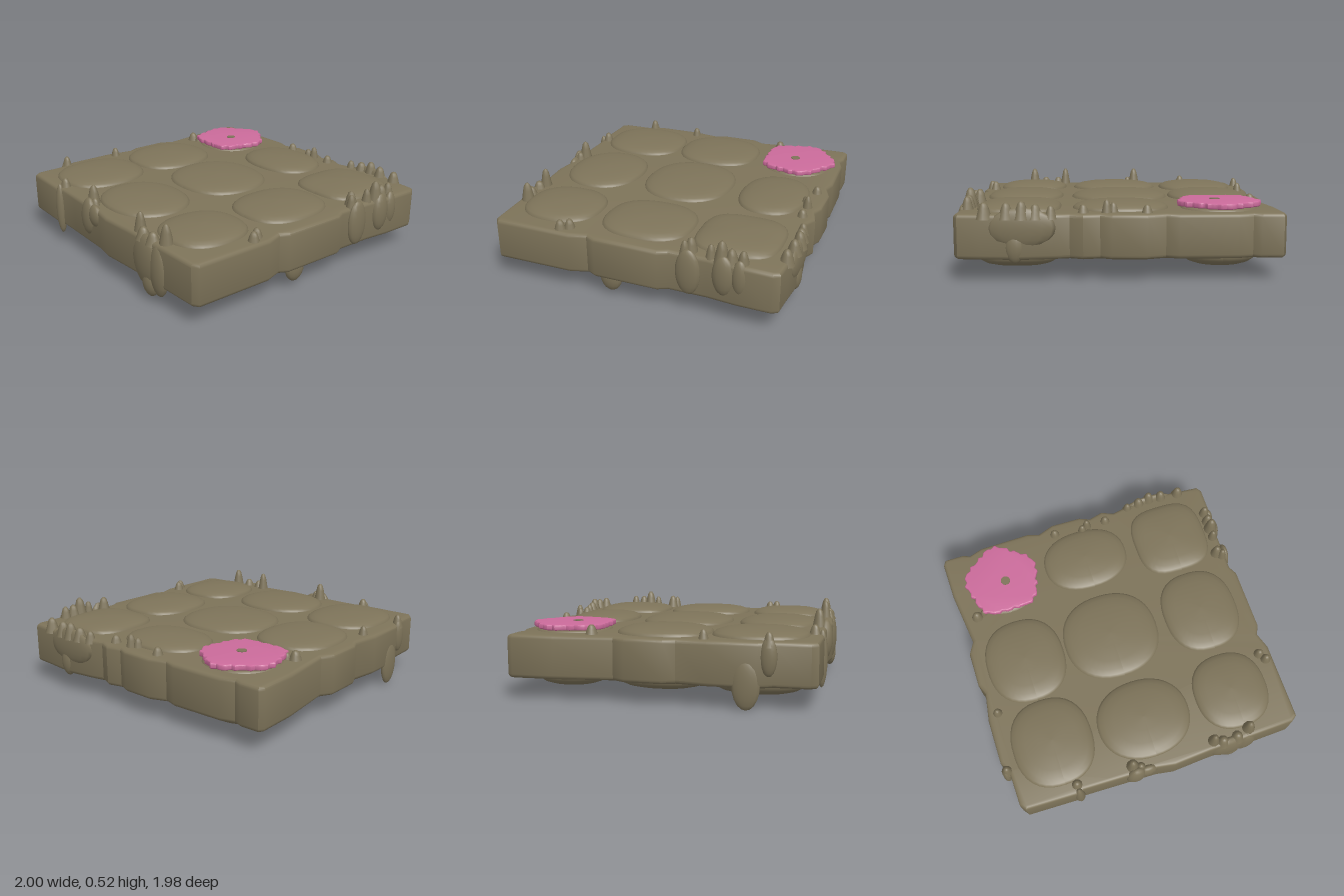
import * as THREE from 'three';
import { toCreasedNormals } from 'three/addons/utils/BufferGeometryUtils.js';

export function createModel() {
  const model = new THREE.Group();
  model.name = 'stoneTile';
  const stone = new THREE.MeshStandardMaterial({ color: 0x7d7359 });
  stone.name = 'olive stone';
  const pink = new THREE.MeshStandardMaterial({ color: 0xcb6b9b });
  pink.name = 'pink petal';

  function add(name, geometry, material, parent = model) {
    const mesh = new THREE.Mesh(geometry, material);
    mesh.name = name;
    parent.add(mesh);
    return mesh;
  }

  // Flat plate lying between two heights, from an outline of [x, z] points
  function plate(points, y0, y1, bevel) {
    const shape = new THREE.Shape(points.map(([x, z]) => new THREE.Vector2(x, -z)));
    const geo = new THREE.ExtrudeGeometry(shape, {
      depth: y1 - y0 - 2 * bevel, bevelThickness: bevel, bevelSize: bevel,
      bevelOffset: -bevel, bevelSegments: 3, bevelEnabled: bevel > 0,
    });
    geo.rotateX(-Math.PI / 2);
    geo.translate(0, y0 + bevel, 0);
    return toCreasedNormals(geo, 0.6);
  }

  // Slab with a worn, notched outline
  const outline = [
    [-0.94, 0.9], [-0.91, 0.94], [-0.56, 0.95], [-0.52, 0.935], [-0.35, 0.94], [-0.02, 0.95],
    [0.1, 0.97], [0.35, 0.955], [0.62, 0.95], [0.94, 0.94], [0.98, 0.91],
    [0.985, 0.4], [0.95, 0.29], [0.98, 0.23], [0.985, -0.19], [0.955, -0.25],
    [0.96, -0.5], [0.98, -0.68], [0.985, -0.9], [0.96, -0.94],
    [0.83, -0.95], [0.59, -0.975], [0.4, -0.95], [0.3, -0.93], [0.22, -0.965], [0.12, -0.94],
    [0.05, -0.97], [-0.16, -0.975], [-0.27, -0.935], [-0.35, -0.96], [-0.7, -0.955],
    [-0.79, -0.925], [-0.84, -0.945], [-0.97, -0.945], [-0.99, -0.91],
    [-0.985, -0.65], [-0.94, -0.28], [-0.985, -0.2], [-0.985, 0.04], [-0.955, 0.11],
    [-0.985, 0.3], [-0.985, 0.6], [-0.945, 0.68],
  ];
  add('slab', plate(outline, 0.13, 0.4, 0.025), stone);

  // Cobbles: rounded-square domes; n sets how square they are
  const domeProfile = [[1, 0], [0.985, 0.25], [0.94, 0.45], [0.83, 0.66], [0.65, 0.83], [0.35, 0.96], [0, 1]]
    .map(([r, y]) => new THREE.Vector2(r, y));
  function dome(rx, rz, height, n) {
    const geo = new THREE.LatheGeometry(domeProfile, 40);
    const p = geo.attributes.position;
    for (let i = 0; i < p.count; i++) {
      const a = Math.atan2(p.getZ(i), p.getX(i));
      const k = (Math.abs(Math.cos(a)) ** n + Math.abs(Math.sin(a)) ** n) ** (-1 / n);
      p.setXYZ(i, p.getX(i) * k * rx, p.getY(i) * height, p.getZ(i) * k * rz);
    }
    geo.computeVertexNormals();
    return geo;
  }
  // x, z, half width, half depth, squareness, depth of the bulge underneath
  const cobbles = [
    [-0.62, -0.64, 0.24, 0.24, 2.2, 0.085], [-0.01, -0.63, 0.3, 0.23, 2.3, 0.01], [0.62, -0.6, 0.26, 0.27, 3.2, 0.085],
    [-0.63, -0.03, 0.27, 0.3, 2.4, 0.075], [-0.02, -0.02, 0.33, 0.31, 2.3, 0.01], [0.63, 0, 0.26, 0.3, 2.5, 0.01],
    [-0.62, 0.57, 0.27, 0.3, 2.4, 0.085], [0, 0.61, 0.315, 0.27, 2.2, 0.01], [0.62, 0.61, 0.25, 0.265, 2.4, 0.085],
  ];
  cobbles.forEach(([x, z, rx, rz, n, bulge], i) => {
    const top = add('cobbleTop', dome(rx, rz, i === 0 ? 0.04 : 0.06, n), stone);
    top.position.set(x, 0.392, z);
    const under = add('cobbleUnderside', dome(rx, rz, bulge + 0.005, n), stone);
    under.rotation.x = Math.PI;
    under.position.set(x, 0.135, z);
  });

  // Flower pad with a ragged rim, wide at the front and narrow at the back
  const flower = new THREE.Group();
  flower.name = 'flower';
  model.add(flower);
  const rim = [];
  for (let i = 0; i < 120; i++) {
    const a = (i / 120) * Math.PI * 2;
    const r = 0.25 + 0.007 * Math.sin(a * 20) + 0.004 * Math.sin(a * 33 + 1) + 0.014 * Math.cos(a * 5 - Math.PI / 2 + Math.PI);
    const z = Math.sin(a) * r;
    rim.push([-0.62 + Math.cos(a) * r * (1 + 0.25 * z), -0.645 + Math.min(z, 0.238 + 0.006 * Math.sin(a * 28))]);
  }
  add('petals', plate(rim, 0.415, 0.45, 0.008), pink, flower);
  const heart = add('flowerHeart', new THREE.CylinderGeometry(0.032, 0.032, 0.008, 20), stone, flower);
  heart.position.set(-0.6, 0.45, -0.625);

  // Lumps and drips: a rounded blob between heights y0 and y1
  function blob(name, x, z, y0, y1, sx, sz, lean = 0) {
    const mesh = add(name, new THREE.SphereGeometry(1, 14, 10), stone);
    mesh.scale.set(sx, (y1 - y0) / 2, sz);
    mesh.position.set(x, (y0 + y1) / 2, z);
    mesh.rotation.z = lean;
  }
  // Pointed moss tufts: x, z, tip height, radius
  const tuftProfile = [[1, 0], [0.8, 0.3], [0.6, 0.65], [0.42, 0.88], [0.2, 0.98], [0, 1]]
    .map(([r, y]) => new THREE.Vector2(r, y));
  const tufts = [
    [-0.86, -0.44, 0.46, 0.05], [-0.81, -0.455, 0.44, 0.035], [-0.16, -0.89, 0.45, 0.045],
    [0.04, -0.86, 0.46, 0.04], [0.08, -0.88, 0.48, 0.04], [0.22, -0.88, 0.45, 0.045],
    [0.41, -0.93, 0.45, 0.04], [0.5, -0.94, 0.46, 0.05], [0.58, -0.95, 0.48, 0.05],
    [0.67, -0.94, 0.47, 0.05], [0.8, -0.93, 0.47, 0.05],
    [0.93, -0.71, 0.48, 0.045], [0.93, -0.58, 0.52, 0.055], [0.93, -0.64, 0.48, 0.05],
    [0.92, -0.51, 0.48, 0.04], [0.9, -0.38, 0.49, 0.05], [0.93, -0.35, 0.48, 0.04],
    [0.9, 0.43, 0.46, 0.045], [0.93, 0.48, 0.46, 0.045],
    [-0.91, 0.27, 0.46, 0.04], [-0.955, 0.66, 0.46, 0.04],
    [-0.55, 0.89, 0.46, 0.045], [-0.17, 0.89, 0.52, 0.05], [-0.12, 0.91, 0.45, 0.04],
    [0.39, 0.9, 0.52, 0.045], [0.45, 0.92, 0.45, 0.05], [0.55, 0.92, 0.45, 0.05], [0.64, 0.89, 0.52, 0.05],
  ];
  for (const [x, z, tip, r] of tufts) {
    const tuft = add('mossTuft', new THREE.LatheGeometry(tuftProfile, 10), stone);
    tuft.scale.set(r, tip - 0.37, r);
    tuft.position.set(x, 0.37, z);
  }

  // Drips hanging over the front
  blob('frontDrip', -0.16, 0.935, 0.19, 0.45, 0.07, 0.045, -0.1);
  blob('frontDrip', -0.08, 0.935, 0.27, 0.42, 0.07, 0.035);
  blob('frontDrip', -0.55, 0.935, 0.07, 0.43, 0.035, 0.035);
  blob('frontDrip', 0.5, 0.93, 0.08, 0.42, 0.14, 0.05);
  blob('frontDrip', 0.53, 0.93, 0.03, 0.22, 0.07, 0.045);
  blob('frontDrip', 0.62, 0.93, 0.06, 0.4, 0.08, 0.045);
  // Drips on the left side
  blob('leftDrip', 0.93, 0.14, 0.035, 0.24, 0.04, 0.075);
  blob('leftDrip', 0.96, -0.38, 0.14, 0.44, 0.035, 0.08);
  blob('leftDrip', 0.96, -0.6, 0.18, 0.44, 0.04, 0.07);
  blob('leftDrip', 0.96, -0.7, 0.2, 0.43, 0.035, 0.05);
  // Drips on the right side and back
  blob('rightDrip', -0.97, 0.53, 0, 0.3, 0.03, 0.085);
  blob('rightDrip', -0.965, 0.66, 0.2, 0.43, 0.03, 0.05);
  blob('backDrip', 0.58, -0.95, 0.2, 0.44, 0.2, 0.035);
  blob('backDrip', 0.62, -0.95, 0.11, 0.3, 0.06, 0.035);
  return model;
}
